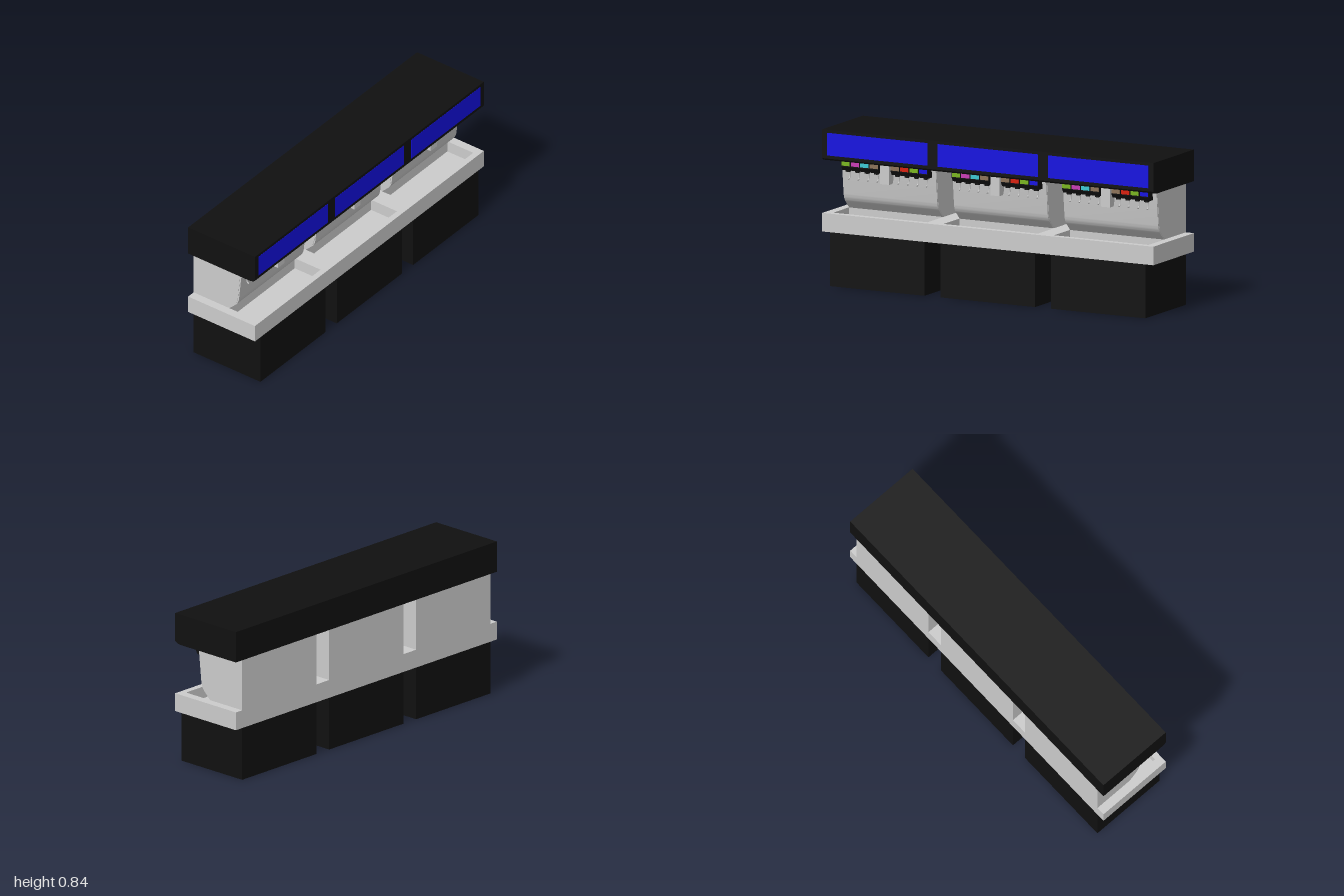
import * as THREE from 'three';
import { toCreasedNormals } from 'three/addons/utils/BufferGeometryUtils.js';

const mat = (color) => new THREE.MeshStandardMaterial({ color });
const grey = mat(0xcccccc), black = mat(0x101010), blue = mat(0x1410e0);
const labelColors = [0x7ab51d, 0xc83cb4, 0x3cc8d2, 0x8c7358, 0x8c7358, 0xd81e0a, 0x7ab51d, 0x1410e0];
const labelMats = labelColors.map(mat);

function add(parent, name, geometry, material, x = 0, y = 0, z = 0) {
  const mesh = new THREE.Mesh(geometry, material);
  mesh.name = name;
  mesh.position.set(x, y, z);
  parent.add(mesh);
  return mesh;
}

// Side profile in x and y, extruded along z and centred on z = 0
function extrudeZ(shape, width) {
  const g = new THREE.ExtrudeGeometry(shape, { depth: width, bevelEnabled: false, curveSegments: 8 });
  g.translate(0, 0, -width / 2);
  return toCreasedNormals(g, 0.5);
}
const polygon = (pts) => new THREE.Shape(pts.map(([x, y]) => new THREE.Vector2(x, y)));

// Front curve of the dispenser panel, from the basin up, shifted by dx
function panelCurve(dx) {
  const path = new THREE.Path();
  path.moveTo(0.016 + dx, 0.39);
  path.lineTo(0.054 + dx, 0.427);
  path.quadraticCurveTo(0.073 + dx, 0.444, 0.078 + dx, 0.475);
  path.lineTo(0.098 + dx, 0.67);
  return path.getPoints(8).map((p) => [p.x, p.y]);
}

function createStation() {
  const station = new THREE.Group();
  station.name = 'station';

  add(station, 'baseCabinet', new THREE.BoxGeometry(0.444, 0.29, 0.57), black, 0, 0.145, 0);

  // Dispenser body and its thin front cover
  const inner = panelCurve(-0.007), outer = panelCurve(0);
  add(station, 'dispenserBody', extrudeZ(polygon([[-0.222, 0.67], [-0.222, 0.39], ...inner]), 0.57), grey);
  add(station, 'frontCover', extrudeZ(polygon([...outer, ...inner.slice().reverse()]), 0.566), grey);

  // Drain plate on the basin floor
  add(station, 'drainPlate', new THREE.BoxGeometry(0.12, 0.006, 0.48), grey, 0.102, 0.328, 0);

  // Centre spout with a curved back
  const spout = new THREE.Shape();
  spout.moveTo(0.09, 0.67);
  spout.lineTo(0.094, 0.61);
  spout.quadraticCurveTo(0.096, 0.565, 0.108, 0.56);
  spout.lineTo(0.143, 0.56);
  spout.lineTo(0.143, 0.67);
  add(station, 'centreSpout', extrudeZ(spout, 0.056), grey);

  // Valves with coloured labels and push levers, four on each side of the spout
  const valveGeo = extrudeZ(polygon([[0.09, 0.67], [0.09, 0.613], [0.13, 0.613], [0.142, 0.634], [0.142, 0.67]]), 0.052);
  const nozzleGeo = new THREE.CylinderGeometry(0.014, 0.014, 0.012, 16);
  const labelGeo = new THREE.BoxGeometry(0.003, 0.027, 0.049);
  const leverPath = new THREE.CatmullRomCurve3([
    [0.1, 0.612], [0.095, 0.59], [0.097, 0.57], [0.104, 0.562], [0.111, 0.566],
  ].map(([x, y]) => new THREE.Vector3(x, y, 0)));
  const leverGeo = new THREE.TubeGeometry(leverPath, 14, 0.004, 6);
  labelMats.forEach((labelMat, i) => {
    const z = i < 4 ? 0.236 - i * 0.057 : -0.062 - (i - 4) * 0.057;
    const valve = new THREE.Group();
    valve.name = 'valve';
    valve.position.z = z;
    add(valve, 'valveHousing', valveGeo, black);
    add(valve, 'valveNozzle', nozzleGeo, black, 0.112, 0.61, 0);
    add(valve, 'valveLabel', labelGeo, labelMat, 0.142, 0.652, 0);
    add(valve, 'pushLever', leverGeo, grey);
    station.add(valve);
  });

  add(station, 'displayScreen', new THREE.BoxGeometry(0.004, 0.122, 0.605), blue, 0.221, 0.763, 0);
  return station;
}

export function createModel() {
  const model = new THREE.Group();
  model.name = 'drinkDispenserCounter';
  const centres = [-0.667, 0, 0.667];

  // Counter tray: a slab below a rim with three basins cut out
  add(model, 'traySlab', new THREE.BoxGeometry(0.444, 0.035, 2), grey, 0, 0.3075, 0);
  const rim = polygon([[-0.222, -1], [0.222, -1], [0.222, 1], [-0.222, 1]]);
  for (const c of centres) {
    const hole = new THREE.Path();
    hole.setFromPoints([[0.016, c - 0.285], [0.016, c + 0.285], [0.188, c + 0.285], [0.188, c - 0.285]]
      .map(([x, y]) => new THREE.Vector2(x, y)));
    rim.holes.push(hole);
  }
  const rimGeo = new THREE.ExtrudeGeometry(rim, { depth: 0.065, bevelEnabled: false });
  rimGeo.rotateX(-Math.PI / 2);
  add(model, 'trayRim', rimGeo, grey, 0, 0.325, 0);

  // Overhead canopy with a rounded lower front edge
  const canopy = new THREE.Shape();
  canopy.moveTo(-0.222, 0.67);
  canopy.lineTo(0.175, 0.67);
  canopy.quadraticCurveTo(0.212, 0.671, 0.222, 0.685);
  canopy.lineTo(0.222, 0.84);
  canopy.lineTo(-0.222, 0.84);
  add(model, 'canopy', extrudeZ(canopy, 2), black);

  for (const c of centres) {
    const station = createStation();
    station.position.z = c;
    model.add(station);
  }
  return model;
}
